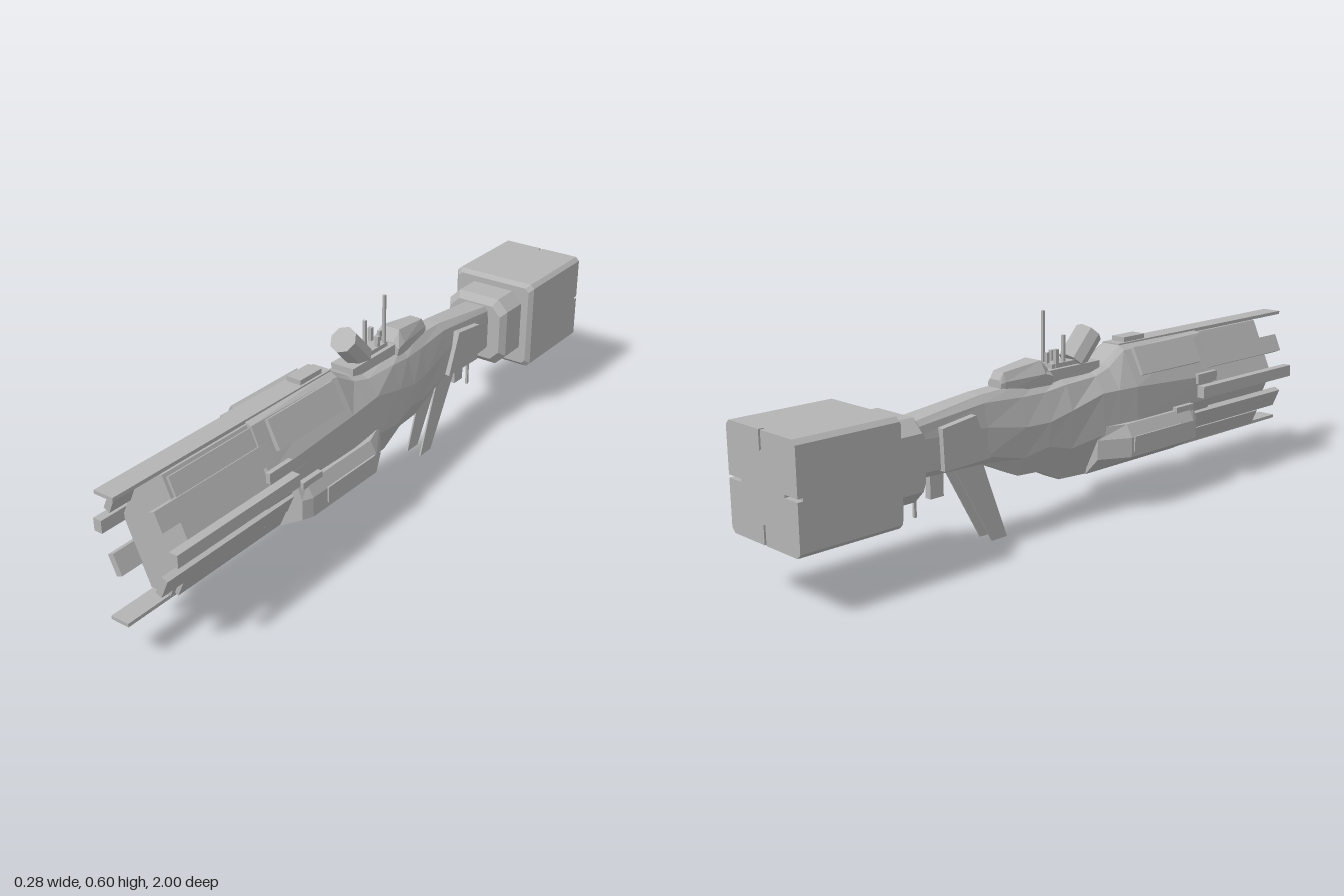
import * as THREE from 'three';

const hullGrey = new THREE.MeshStandardMaterial({ color: 0xb4b4b4, flatShading: true });
hullGrey.name = 'hullGrey';

export function createModel() {
  const root = new THREE.Group();
  root.name = 'spaceship';

  const add = (name, geo, x = 0, y = 0, z = 0) => {
    const m = new THREE.Mesh(geo, hullGrey);
    m.name = name;
    m.position.set(x, y, z);
    root.add(m);
    return m;
  };
  const box = (name, x, y, z0, z1, w, h, rot = 0) => {
    const m = add(name, new THREE.BoxGeometry(w, h, Math.abs(z1 - z0)), x, y, (z0 + z1) / 2);
    m.rotation.z = rot;
    return m;
  };
  const pair = (name, x, y, z0, z1, w, h, rot = 0) => {
    box(name + 'Left', x, y, z0, z1, w, h, rot);
    box(name + 'Right', -x, y, z0, z1, w, h, -rot);
  };

  // Skin between rings [z, [[x, y], ...]], counter-clockwise, from front to back
  const loft = (name, sections) => {
    const v = [], n = sections[0][1].length;
    const put = (s, i) => v.push(s[1][i % n][0], s[1][i % n][1], s[0]);
    for (let k = 0; k + 1 < sections.length; k++) {
      const a = sections[k], b = sections[k + 1];
      for (let i = 0; i < n; i++) {
        put(a, i); put(b, i); put(b, i + 1);
        put(a, i); put(b, i + 1); put(a, i + 1);
      }
    }
    const f = sections[0], e = sections[sections.length - 1];
    for (let i = 1; i + 1 < n; i++) {
      put(f, 0); put(f, i); put(f, i + 1);
      put(e, 0); put(e, i + 1); put(e, i);
    }
    const g = new THREE.BufferGeometry();
    g.setAttribute('position', new THREE.Float32BufferAttribute(v, 3));
    g.computeVertexNormals();
    return add(name, g);
  };
  // Half outline from bottom to top on +x, mirrored to a closed ring
  const sym = half => [...half, ...half.slice().reverse().map(([x, y]) => [-x, y])];
  const flip = s => s.map(([z, r]) => [z, r.map(([x, y]) => [-x, y]).reverse()]);
  const loftPair = (name, s) => { loft(name + 'Left', s); loft(name + 'Right', flip(s)); };

  // Forward core: a long hexagonal prism
  const core = [[0.032, 0.122], [0.105, 0.295], [0.105, 0.31], [0.035, 0.465]];
  loft('forwardCore', [[0.85, sym(core)], [0.4, sym(core)]]);

  // Main hull: bottom half width and height, two waist points, shoulder, top
  const hull = [
    [0.55, 0.03, 0.118, 0.105, 0.27, 0.105, 0.34, 0.05, 0.465, 0.03, 0.47],
    [0.20, 0.035, 0.115, 0.108, 0.26, 0.104, 0.36, 0.05, 0.46, 0.03, 0.472],
    [0.13, 0.035, 0.115, 0.102, 0.25, 0.098, 0.36, 0.055, 0.42, 0.03, 0.43],
    [0.07, 0.035, 0.115, 0.095, 0.24, 0.092, 0.36, 0.06, 0.405, 0.03, 0.415],
    [-0.05, 0.03, 0.12, 0.08, 0.22, 0.085, 0.33, 0.06, 0.40, 0.03, 0.415],
    [-0.13, 0.03, 0.16, 0.072, 0.24, 0.078, 0.31, 0.055, 0.39, 0.03, 0.415],
    [-0.21, 0.03, 0.165, 0.055, 0.22, 0.068, 0.31, 0.05, 0.39, 0.028, 0.42],
    [-0.34, 0.028, 0.225, 0.05, 0.25, 0.052, 0.33, 0.042, 0.395, 0.025, 0.415],
    [-0.60, 0.035, 0.235, 0.048, 0.25, 0.048, 0.34, 0.045, 0.37, 0.035, 0.383],
  ];
  loft('mainHull', hull.map(([z, ...p]) =>
    [z, sym([0, 2, 4, 6, 8].map(i => [p[i], p[i + 1]]))]));

  // Lower side sponsons with tapered tails
  const spon = (o, t) => [[0.04, 0.116], [o, 0.168], [o, 0.225], [t, 0.262], [0.06, 0.262]];
  loftPair('sponson', [
    [0.45, spon(0.125, 0.11)], [0.42, spon(0.138, 0.118)],
    [0.14, spon(0.138, 0.118)], [0.05, spon(0.088, 0.085)],
  ]);
  pair('sponsonPanel', 0.136, 0.205, 0.36, 0.15, 0.012, 0.045);
  pair('sponsonCap', 0.112, 0.262, 0.44, 0.36, 0.02, 0.02);

  // Spine and keel blades running past the bow
  box('spinePlate', 0, 0.471, 1.0, 0.2, 0.06, 0.01);
  box('keelPlate', 0, 0.117, 0.99, 0.4, 0.056, 0.01);
  box('spineHatch', 0, 0.482, 0.32, 0.23, 0.046, 0.016);

  // Armour slats around the forward core
  pair('sideRail', 0.124, 0.302, 0.92, 0.47, 0.026, 0.036);
  pair('upperSlat', 0.075, 0.385, 0.92, 0.52, 0.02, 0.055, 0.42);
  pair('lowerSlat', 0.077, 0.207, 0.92, 0.45, 0.02, 0.06, -0.42);
  pair('upperPlate', 0.055, 0.425, 0.84, 0.5, 0.012, 0.07, 0.42);
  pair('lowerPlate', 0.053, 0.15, 0.84, 0.45, 0.012, 0.05, -0.42);
  pair('shoulderPlate', 0.074, 0.425, 0.5, 0.23, 0.014, 0.085, 0.46);
  pair('waistRail', 0.107, 0.34, 0.56, 0.47, 0.014, 0.03);

  // Tilted turret drum on its footing
  const drum = add('turretDrum', new THREE.CylinderGeometry(0.04, 0.04, 0.105, 8), 0, 0.482, 0.068);
  drum.rotation.x = 0.76;
  box('turretFooting', 0, 0.425, 0.11, -0.1, 0.075, 0.035);
  box('turretStep', 0, 0.445, 0.03, -0.07, 0.05, 0.02);

  // Masts: x, z, top height, thickness
  [[0.02, -0.06, 0.6, 0.008], [-0.015, -0.015, 0.53, 0.009], [0.018, -0.03, 0.485, 0.012],
    [-0.02, -0.05, 0.495, 0.012], [0, -0.065, 0.485, 0.01]].forEach(([x, z, top, t], i) =>
    box('mast' + (i + 1), x, (top + 0.42) / 2, z - t / 2, z + t / 2, t, top - 0.42));

  // Bridge wedge
  loft('bridge', [
    [-0.09, sym([[0.045, 0.405], [0.05, 0.43], [0.03, 0.445]])],
    [-0.12, sym([[0.045, 0.405], [0.05, 0.44], [0.03, 0.475]])],
    [-0.25, sym([[0.028, 0.405], [0.03, 0.435], [0.02, 0.46]])],
    [-0.265, sym([[0.024, 0.405], [0.025, 0.43], [0.018, 0.44]])],
  ]);

  // Flat parts drawn in side outline [z, y], extruded along x
  const sidePlate = (name, x, t, pts) => {
    const s = new THREE.Shape(pts.map(([z, y]) => new THREE.Vector2(-z, y)));
    const g = new THREE.ExtrudeGeometry(s, { depth: t, bevelEnabled: false });
    g.translate(0, 0, -t / 2).rotateY(Math.PI / 2);
    add(name, g, x);
  };
  for (const [side, sx] of [['Left', 1], ['Right', -1]]) {
    sidePlate('rearPod' + side, sx * 0.053, 0.024,
      [[-0.34, 0.25], [-0.5, 0.245], [-0.505, 0.36], [-0.39, 0.375]]);
    sidePlate('ventralFin' + side, sx * 0.024, 0.005,
      [[-0.25, 0], [-0.305, 0], [-0.44, 0.24], [-0.34, 0.24]]);
  }
  box('ventralTab', 0, 0.2, -0.46, -0.505, 0.02, 0.08);
  box('ventralRod', 0, 0.18, -0.547, -0.555, 0.007, 0.12);

  // Engine collar and bevelled engine block
  const oct = (w, h, c) => sym([[w - c, 0.3 - h], [w, 0.3 - h + c], [w, 0.3 + h - c], [w - c, 0.3 + h]]);
  loft('engineCollar', [
    [-0.585, oct(0.09, 0.09, 0.03)], [-0.605, oct(0.105, 0.11, 0.035)], [-0.7, oct(0.105, 0.11, 0.035)],
  ]);
  loft('engineBlock', [
    [-0.69, oct(0.129, 0.129, 0.012)], [-0.703, oct(0.141, 0.141, 0.012)], [-0.985, oct(0.141, 0.141, 0.012)],
  ]);

  // Stern plate with a slot in the middle of each edge
  const w = 0.141, c = 0.012, q = 0.004, d = 0.09;
  const edge = [[w, -w + c], [w, -q], [d, -q], [d, q], [w, q], [w, w - c]];
  const outline = [];
  for (let k = 0; k < 4; k++) {
    const o = new THREE.Vector2();
    for (const [x, y] of edge) outline.push(new THREE.Vector2(x, y).rotateAround(o, k * Math.PI / 2));
  }
  add('sternPlate', new THREE.ExtrudeGeometry(new THREE.Shape(outline),
    { depth: 0.016, bevelEnabled: false }), 0, 0.3, -1);

  return root;
}
